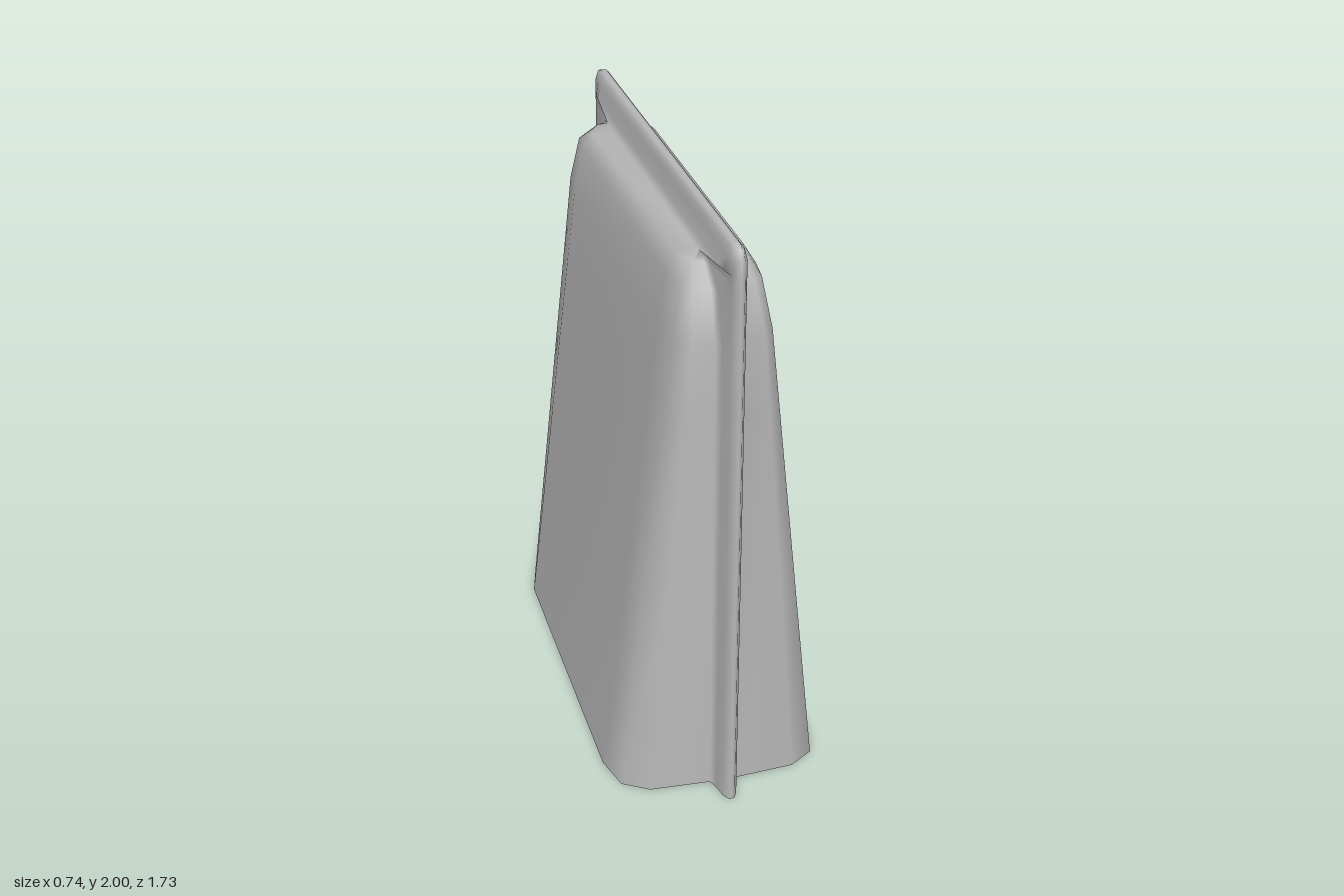
import * as THREE from 'three';

// Mirrors one quadrant of [x, z] points into a full loop; tips lie on the x = 0 plane
function mirrorLoop(quadrant, tip) {
  const back = [...quadrant].reverse();
  return [
    ...quadrant, [0, tip],
    ...back.map(([x, z]) => [-x, z]),
    ...quadrant.map(([x, z]) => [-x, -z]), [0, -tip],
    ...back.map(([x, z]) => [x, -z]),
  ];
}

// Skins a stack of { y, loop } sections, facing outward or inward
function loft(sections, inward = false) {
  const n = sections[0].loop.length;
  const pos = [], idx = [];
  for (const { y, loop } of sections) for (const [x, z] of loop) pos.push(x, y, z);
  for (let i = 0; i < sections.length - 1; i++) {
    for (let j = 0; j < n; j++) {
      const a = i * n + j, b = i * n + (j + 1) % n, c = a + n, d = b + n;
      if (inward) idx.push(a, b, c, b, d, c);
      else idx.push(a, c, b, b, c, d);
    }
  }
  const g = new THREE.BufferGeometry();
  g.setAttribute('position', new THREE.Float32BufferAttribute(pos, 3));
  g.setIndex(idx);
  g.computeVertexNormals();
  return g;
}

// Tapered body with chamfered corners, running into a thin fin at both ends
function shellLoop(w, z0, z1, z2, tip) {
  const fin = (x) => Math.min(w, x);
  return mirrorLoop([
    [w, z0],
    [Math.max(w * 0.91, fin(0.047)), z1],
    [Math.max(w * 0.68, fin(0.046)), z2],
    [fin(0.045), z2 + 0.013],
    [fin(0.033), z2 + 0.045],
    [fin(0.024), tip - 0.027],
    [fin(0.011), tip - 0.003],
  ], tip);
}

function cavityLoop(w, z0, z1, z2) {
  return mirrorLoop([[w, z0], [w * 0.9, z1], [w * 0.65, z2]], z2);
}

export function createModel() {
  const group = new THREE.Group();
  const grey = new THREE.MeshStandardMaterial({ color: 0xb8b8b8 });
  grey.name = 'plain grey';
  const add = (name, geometry) => {
    const mesh = new THREE.Mesh(geometry, grey);
    mesh.name = name;
    group.add(mesh);
    return mesh;
  };

  // Outer shell: height, half width, three corner depths, fin tip depth
  const shell = [
    [0, 0.37, 0.56, 0.69, 0.745, 0.863],
    [0.8, 0.274, 0.56, 0.69, 0.745, 0.863],
    [1.4, 0.202, 0.56, 0.69, 0.745, 0.863],
    [1.65, 0.172, 0.56, 0.69, 0.743, 0.863],
    [1.81, 0.144, 0.55, 0.65, 0.69, 0.863],
    [1.868, 0.11, 0.52, 0.57, 0.61, 0.863],
    [1.886, 0.05, 0.5, 0.54, 0.57, 0.863],
    [1.91, 0.036, 0.56, 0.69, 0.745, 0.863],
    [1.96, 0.026, 0.56, 0.69, 0.745, 0.86],
    [1.987, 0.02, 0.56, 0.69, 0.74, 0.845],
    [1.998, 0.01, 0.56, 0.68, 0.73, 0.81],
    [2, 0, 0.56, 0.68, 0.72, 0.8],
  ].map(([y, ...s]) => ({ y, loop: shellLoop(...s) }));
  add('outerShell', loft(shell));

  // Hollow inside, closed at the top
  const cavity = [
    [0, 0.32, 0.53, 0.64, 0.69],
    [1.6, 0.125, 0.53, 0.64, 0.69],
    [1.76, 0.095, 0.52, 0.6, 0.63],
    [1.82, 0.06, 0.48, 0.52, 0.55],
    [1.82, 0, 0.48, 0.52, 0.55],
  ].map(([y, ...s]) => ({ y, loop: cavityLoop(...s) }));
  add('cavity', loft(cavity, true));

  // Flat bottom rim between the shell and the cavity
  const toPoints = (loop) => loop.map(([x, z]) => new THREE.Vector2(x, z));
  const rimShape = new THREE.Shape(toPoints(shell[0].loop));
  rimShape.holes.push(new THREE.Path(toPoints(cavity[0].loop)));
  const rim = new THREE.ShapeGeometry(rimShape);
  rim.rotateX(Math.PI / 2);
  add('bottomRim', rim);

  return group;
}
